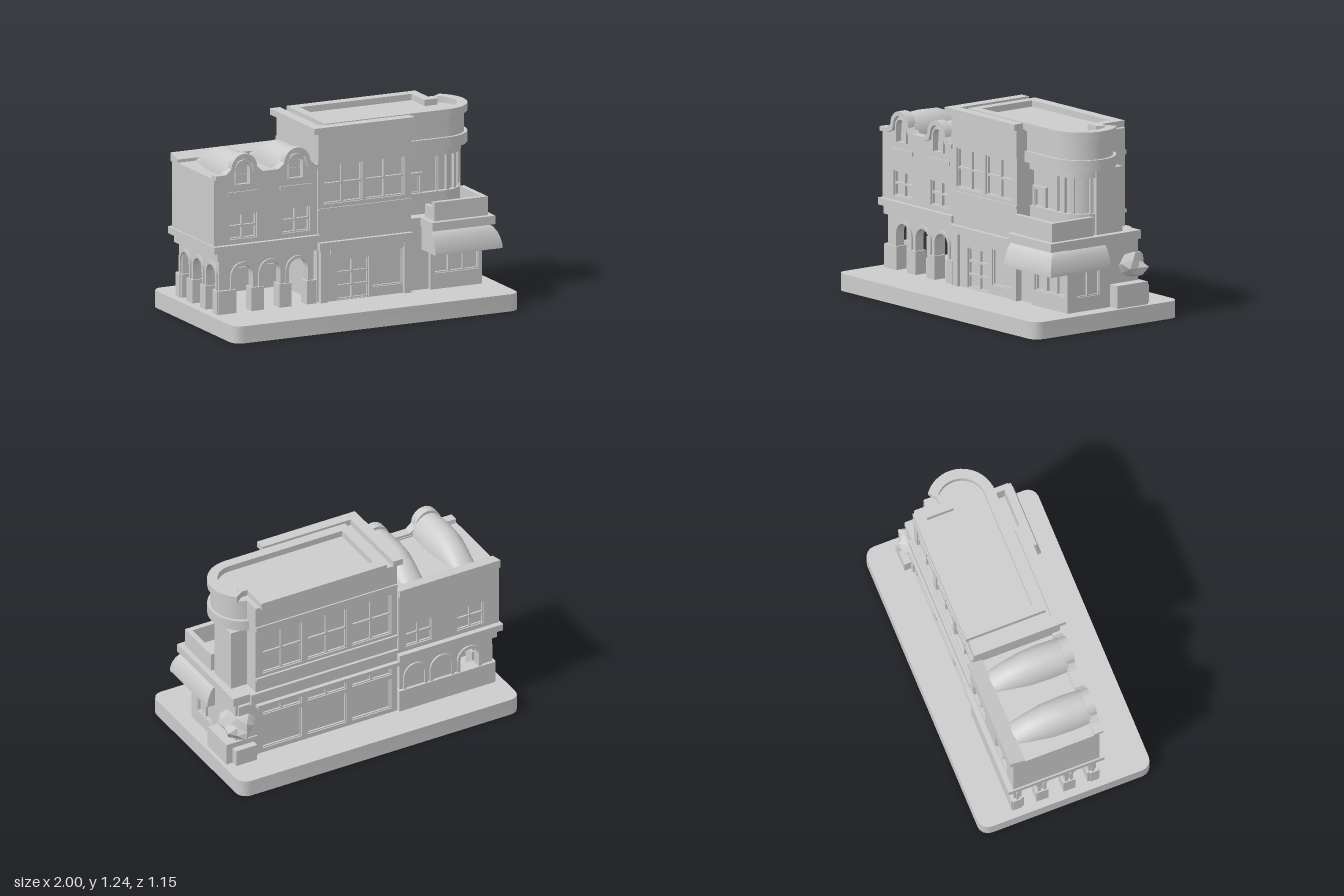
import * as THREE from 'three';
import { toCreasedNormals } from 'three/addons/utils/BufferGeometryUtils.js';

const grey = new THREE.MeshStandardMaterial({ color: 0xcccccc, side: THREE.DoubleSide });
const rough = new THREE.MeshStandardMaterial({ color: 0xcccccc, flatShading: true });

export function createModel() {
  const model = new THREE.Group();
  model.name = 'streetCornerBuildings';

  const add = (name, geo, parent = model, mat = grey) => {
    const m = new THREE.Mesh(geo, mat);
    m.name = name;
    parent.add(m);
    return m;
  };
  const box = (name, x0, x1, y0, y1, z0, z1, parent) => {
    const g = new THREE.BoxGeometry(x1 - x0, y1 - y0, z1 - z0);
    g.translate((x0 + x1) / 2, (y0 + y1) / 2, (z0 + z1) / 2);
    return add(name, g, parent);
  };
  const extrude = (shape, depth, z = 0) => {
    const g = new THREE.ExtrudeGeometry(shape, { depth, bevelEnabled: false, curveSegments: 10 });
    return toCreasedNormals(g.translate(0, 0, z), 0.6);
  };
  const toShape = (pts) => new THREE.Shape(pts.map(([a, b]) => new THREE.Vector2(a, b)));
  const rect = (x0, x1, y0, y1) => [[x0, y0], [x1, y0], [x1, y1], [x0, y1]];

  // Horizontal slab from a plan outline of [x, z] points
  const slab = (name, pts, y0, y1, hole) => {
    const s = toShape(pts.map(([x, z]) => [x, -z]));
    if (hole) s.holes.push(toShape(hole.map(([x, z]) => [x, -z])));
    return add(name, extrude(s, y1 - y0).rotateX(-Math.PI / 2).translate(0, y0, 0));
  };

  // Wall plane turned to face front, right, back or left
  const side = (name, angle) => {
    const g = new THREE.Group();
    g.name = name;
    g.rotation.y = angle;
    model.add(g);
    return g;
  };
  const front = side('frontFacade', 0), right = side('rightFacade', Math.PI / 2);
  const back = side('backFacade', Math.PI), left = side('leftFacade', -Math.PI / 2);

  // Opening outline, optionally with a round head
  const archPts = (x0, x1, y0, y1) => {
    const r = (x1 - x0) / 2, pts = [[x0, y0]];
    for (let i = 0; i <= 12; i++) {
      const a = Math.PI * (1 - i / 12);
      pts.push([x0 + r + r * Math.cos(a), y1 - r + r * Math.sin(a)]);
    }
    return [...pts, [x1, y0]];
  };
  const archTrim = (parent, x0, x1, y0, y1, z, w = 0.02, d = 0.012) =>
    add('archTrim', extrude(toShape([...archPts(x0 - w, x1 + w, y0, y1 + w), ...archPts(x0, x1, y0, y1).reverse()]), d, z), parent);

  // Wall skin with recessed, barred windows: [x0, x1, y0, y1, columns, rows, arched]
  const facade = (name, parent, outline, holes, z, depth) => {
    const s = toShape(outline);
    for (const [x0, x1, y0, y1, cols, rows, arched] of holes) {
      s.holes.push(toShape(arched ? archPts(x0, x1, y0, y1) : rect(x0, x1, y0, y1)));
      const b = 0.007, zb = z + depth * 0.6;
      for (let i = 0; i <= cols; i++) {
        const x = x0 + ((x1 - x0) * i) / cols;
        if (!arched) box('windowMullion', x - b, x + b, y0, y1, z, zb, parent);
      }
      for (let j = 0; j <= rows; j++) {
        const y = y0 + ((y1 - y0) * j) / rows;
        if (!arched) box('windowRail', x0, x1, y - b, y + b, z, zb, parent);
      }
    }
    add(name, extrude(s, depth, z), parent);
  };

  // Hollow base with rounded corners, open under the shops
  const roundRect = (hx, hz, r) => {
    const pts = [];
    [[1, 1], [-1, 1], [-1, -1], [1, -1]].forEach(([sx, sz], k) => {
      for (let i = 0; i <= 4; i++) {
        const a = (k + i / 4) * Math.PI / 2;
        pts.push([sx * (hx - r) + r * Math.cos(a), sz * (hz - r) + r * Math.sin(a)]);
      }
    });
    return pts;
  };
  slab('baseRim', roundRect(1, 0.575, 0.07), 0, 0.1, roundRect(0.992, 0.567, 0.065));
  slab('baseTop', roundRect(1, 0.575, 0.07), 0.1, 0.11, rect(-0.22, 0.86, -0.29, 0.19));

  // ---- Arcade building ----
  const arcade = (parent, x0, x1, z, centres, r) => {
    const pts = [[x0, 0.46], [x0, 0.11]];
    for (const c of centres) {
      pts.push(...archPts(c - r, c + r, 0.11, 0.41));
      archTrim(parent, c - r, c + r, 0.26, 0.41, z + 0.05);
    }
    pts.push([x1, 0.11], [x1, 0.46]);
    add('arcadeWall', extrude(toShape(pts), 0.05, z), parent);
    const edges = [x0, ...centres.flatMap((c) => [c - r, c + r]), x1];
    for (let i = 0; i < edges.length; i += 2)
      box('pillarPedestal', edges[i] - 0.012, edges[i + 1] + 0.012, 0.11, 0.26, z - 0.012, z + 0.07, parent);
  };
  const arches = [-0.765, -0.57, -0.38];
  arcade(front, -0.93, -0.27, 0.17, arches, 0.066);
  arcade(back, 0.27, 0.93, 0.28, arches.map((c) => -c), 0.066);
  arcade(left, -0.33, 0.22, 0.88, [-0.235, -0.055, 0.125], 0.062);

  box('arcadeLowerCornice', -0.95, -0.25, 0.45, 0.505, -0.36, 0.24);
  box('arcadeUpperCornice', -0.98, -0.24, 0.505, 0.55, -0.385, 0.26);
  box('arcadeUpperStorey', -0.97, -0.25, 0.55, 0.98, -0.33, 0.2);

  // Curved gable line; the inset makes the lower edge of the coping
  const gables = [-0.77, -0.4];
  const gableTop = (inset) => {
    const pts = [[-0.97, 1.005 - inset]], r = 0.09 - inset;
    for (const c of gables) {
      pts.push([c - 0.13, 1.005 - inset], [c - r - 0.015, 1.025 - inset]);
      for (let i = 0; i <= 12; i++) {
        const a = Math.PI * (1 - i / 12);
        pts.push([c + r * Math.cos(a), 1.04 + r * Math.sin(a)]);
      }
      pts.push([c + r + 0.015, 1.025 - inset], [c + 0.13, 1.005 - inset]);
    }
    return [...pts, [-0.25, 1.005 - inset]];
  };
  const arcadeWindows = [[-0.86, -0.67, 0.58, 0.74, 2, 2], [-0.49, -0.3, 0.58, 0.74, 2, 2]];
  facade('gableWall', front, [[-0.25, 0.55], [-0.97, 0.55], ...gableTop(0.01)],
    [...arcadeWindows, ...gables.map((c) => [c - 0.045, c + 0.045, 0.93, 1.075, 1, 1, true])], 0.2, 0.03);
  add('gableCoping', extrude(toShape([...gableTop(0), ...gableTop(0.028).reverse()]), 0.06, 0.195), front);
  box('nichePanel', -0.96, -0.26, 0.92, 0.99, 0.19, 0.205, front);
  for (const c of gables) {
    add('nicheBack', new THREE.CircleGeometry(0.06, 16).translate(c, 1.03, 0.201), front);
    archTrim(front, c - 0.045, c + 0.045, 0.93, 1.075, 0.23, 0.012, 0.015);
    box('signStrip', c - 0.11, c + 0.11, 0.86, 0.885, 0.23, 0.24, front);
  }
  facade('arcadeBackWall', back, rect(0.25, 0.97, 0.55, 0.98),
    arcadeWindows.map(([a, b, ...rest]) => [-b, -a, ...rest]), 0.33, 0.02);
  const backCoping = toShape([[0.27, 0.97], [0.37, 0.97], [0.37, 1.025], [0.27, 1.0]]);
  add('arcadeBackCoping', extrude(backCoping, 0.72).rotateY(Math.PI / 2).translate(-0.97, 0, 0)
  );

  // Barrel roofs that sink and narrow toward the back: [z, half width, height]
  const vaultStations = [[0.21, 0.115, 0.14], [0.08, 0.12, 0.15], [-0.05, 0.115, 0.145], [-0.17, 0.095, 0.105], [-0.28, 0.075, 0.03]];
  for (const c of gables) {
    const pos = [], idx = [], n = 12;
    vaultStations.forEach(([z, w, h], s) => {
      for (let i = 0; i <= n; i++) {
        const a = (Math.PI * i) / n;
        pos.push(c + w * Math.cos(a), 0.97 + h * Math.sin(a), z);
        if (s && i < n) {
          const k = s * (n + 1) + i, p = k - n - 1;
          idx.push(p, k, p + 1, k, k + 1, p + 1);
        }
      }
    });
    const g = new THREE.BufferGeometry();
    g.setAttribute('position', new THREE.Float32BufferAttribute(pos, 3));
    g.setIndex(idx);
    g.computeVertexNormals();
    add('barrelRoof', g);
  }

  // ---- Main building, ground floor ----
  slab('groundWalls', rect(-0.24, 0.88, -0.31, 0.21), 0.11, 0.52, rect(-0.22, 0.86, -0.29, 0.19));
  facade('shopEntrance', front, rect(-0.22, 0.4, 0.11, 0.46),
    [[-0.11, 0.11, 0.115, 0.37, 2, 3], [0.135, 0.35, 0.17, 0.4, 1, 1]], 0.21, 0.025);
  for (const x of [-0.21, 0.375]) box('entrancePilaster', x - 0.025, x + 0.025, 0.11, 0.5, 0.22, 0.255);
  box('entranceFrieze', -0.16, 0.35, 0.41, 0.45, 0.22, 0.25);
  box('entranceCornice', -0.25, 0.4, 0.45, 0.5, -0.33, 0.275);
  const bays = [[-0.71, -0.43], [-0.39, -0.11], [-0.07, 0.21]];
  facade('backShopWall', back, rect(-0.88, 0.25, 0.11, 0.5),
    bays.flatMap(([a, b]) => [[a, b, 0.14, 0.36, 1, 1], [a, b, 0.39, 0.46, 2, 1]]), 0.31, 0.02);
  box('backCornice', -0.25, 0.8, 0.5, 0.575, -0.35, -0.3);
  box('backLedge', -0.25, 0.76, 0.465, 0.49, -0.365, -0.31);

  // ---- Main building, upper floor ----
  box('upperStorey', -0.25, 0.4, 0.5, 1.2, -0.31, 0.215);
  box('upperStoreyRear', 0.4, 0.76, 0.52, 1.2, -0.31, -0.1);
  facade('upperFrontWall', front, rect(-0.25, 0.4, 0.5, 1.2),
    [[-0.21, 0.06, 0.74, 0.99, 2, 2], [0.085, 0.355, 0.74, 0.99, 2, 2]], 0.215, 0.03);
  box('upperFrontSill', -0.25, 0.4, 0.7, 0.715, 0.24, 0.255);
  box('upperFrontBand', -0.25, 0.4, 1.02, 1.2, 0.24, 0.25);
  facade('upperBackWall', back, rect(-0.76, 0.25, 0.52, 1.2),
    bays.map(([a, b]) => [a, b, 0.7, 0.99, 2, 2]), 0.31, 0.02);
  box('upperBackSill', -0.25, 0.76, 0.66, 0.68, -0.345, -0.32);
  box('upperBackBand', -0.25, 0.76, 1.03, 1.06, -0.34, -0.32);

  // Roof edges: front and left coping, then the round-ended parapet and sunken deck
  box('frontCoping', -0.29, 0.41, 1.2, 1.24, 0.205, 0.275);
  box('leftCoping', -0.29, -0.22, 1.2, 1.24, -0.34, 0.205);
  const roundEnd = (r, x0) => {
    const pts = [];
    for (let i = 0; i <= 18; i++) {
      const a = -0.9 + ((Math.PI / 2 + 0.9) * i) / 18;
      pts.push([0.69 + r * Math.cos(a), -0.035 + r * Math.sin(a)]);
    }
    return [...pts, [x0, -0.035 + r]];
  };
  slab('roofParapet', [[-0.17, -0.35], [0.73, -0.35], [0.73, -0.17], [0.77, -0.17], ...roundEnd(0.22, -0.17)], 1.19, 1.24,
    [[-0.11, -0.28], [0.67, -0.28], [0.67, -0.1], [0.76, -0.1], ...roundEnd(0.155, -0.11)]);
  box('roofDeck', -0.15, 0.67, 1.18, 1.2, -0.3, 0.13);

  // ---- Rounded corner tower ----
  const stadium = (r) => {
    const pts = [[0.39, -0.035 - r]];
    for (let i = 0; i <= 20; i++) {
      const a = -Math.PI / 2 + (Math.PI * i) / 20;
      pts.push([0.69 + r * Math.cos(a), -0.035 + r * Math.sin(a)]);
    }
    return [...pts, [0.39, -0.035 + r]];
  };
  slab('towerDrum', stadium(0.2), 1.05, 1.2);
  slab('towerBand', stadium(0.22), 0.99, 1.06);
  slab('towerLintel', stadium(0.18), 0.94, 0.99);
  slab('towerWall', stadium(0.145), 0.56, 0.95);
  slab('towerSill', stadium(0.175), 0.575, 0.71);
  box('towerPier', 0.69, 0.875, 0.56, 0.99, -0.22, -0.01);
  for (const a of [0.25, 0.6, 1.0, 1.4, 1.85]) {
    const post = add('bayWindowPost', new THREE.BoxGeometry(0.02, 0.24, 0.02));
    post.position.set(0.69 + 0.155 * Math.cos(a), 0.82, -0.035 + 0.155 * Math.sin(a));
    post.rotation.y = -a;
  }
  facade('balconyDoor', front, rect(0.41, 0.54, 0.575, 0.84), [[0.43, 0.52, 0.6, 0.82, 1, 2]], 0.11, 0.02);

  // ---- Corner shop with balcony ----
  facade('cornerShopFront', front, rect(0.54, 0.9, 0.11, 0.45), [[0.57, 0.88, 0.21, 0.355, 3, 1]], 0.21, 0.03);
  facade('cornerShopSide', right, rect(-0.24, 0.32, 0.11, 0.52), [[-0.165, 0.02, 0.2, 0.36, 2, 1]], 0.88, 0.02);
  box('balconySlab', 0.48, 0.92, 0.52, 0.575, -0.33, 0.385);
  box('balconyStep', 0.4, 0.5, 0.5, 0.575, -0.33, 0.22);
  box('balconyFrontWall', 0.51, 0.885, 0.575, 0.695, 0.315, 0.35);
  box('balconyRightWall', 0.85, 0.885, 0.575, 0.695, 0.02, 0.35);
  box('balconyLeftWall', 0.51, 0.54, 0.575, 0.66, 0.22, 0.35);

  // Rounded awning wrapping the corner: profile of [outward, y] swept along the front and right
  const profile = [[-0.12, 0.525], [0, 0.52], [0.025, 0.505], [0.045, 0.475], [0.06, 0.435], [0.07, 0.39], [0.07, 0.37], [-0.12, 0.37]];
  const sections = [([o, y]) => [0.485, y, 0.345 + o], ([o, y]) => [0.885 + o, y, 0.345 + o], ([o, y]) => [0.885 + o, y, -0.06]];
  const pos = sections.flatMap((f) => profile.flatMap(f)), idx = [], n = profile.length;
  for (let s = 0; s < 2; s++)
    for (let i = 0; i < n; i++) {
      const a = s * n + i, b = s * n + ((i + 1) % n);
      idx.push(a, b, a + n, b, b + n, a + n);
    }
  for (let i = 1; i < n - 1; i++) idx.push(0, i + 1, i, 2 * n, 2 * n + i, 2 * n + i + 1);
  const awning = new THREE.BufferGeometry();
  awning.setAttribute('position', new THREE.Float32BufferAttribute(pos, 3));
  awning.setIndex(idx);
  add('awning', toCreasedNormals(awning, 0.6));

  // ---- Planter and craggy shrub ----
  box('planter', 0.75, 0.975, 0.11, 0.255, -0.34, -0.1);
  box('planterStep', 0.78, 0.93, 0.11, 0.22, -0.385, -0.34);
  const shrub = new THREE.IcosahedronGeometry(1, 1), p = shrub.attributes.position;
  for (let i = 0; i < p.count; i++) {
    const h = Math.sin(Math.round(p.getX(i) * 50) * 12.9 + Math.round(p.getY(i) * 50) * 78.2 + Math.round(p.getZ(i) * 50) * 37.7) * 437.5;
    const k = 0.72 + 0.42 * (h - Math.floor(h));
    p.setXYZ(i, p.getX(i) * k, p.getY(i) * k, p.getZ(i) * k);
  }
  shrub.scale(0.115, 0.1, 0.125).translate(0.86, 0.345, -0.28);
  shrub.computeVertexNormals();
  add('shrub', shrub, model, rough);

  return model;
}
